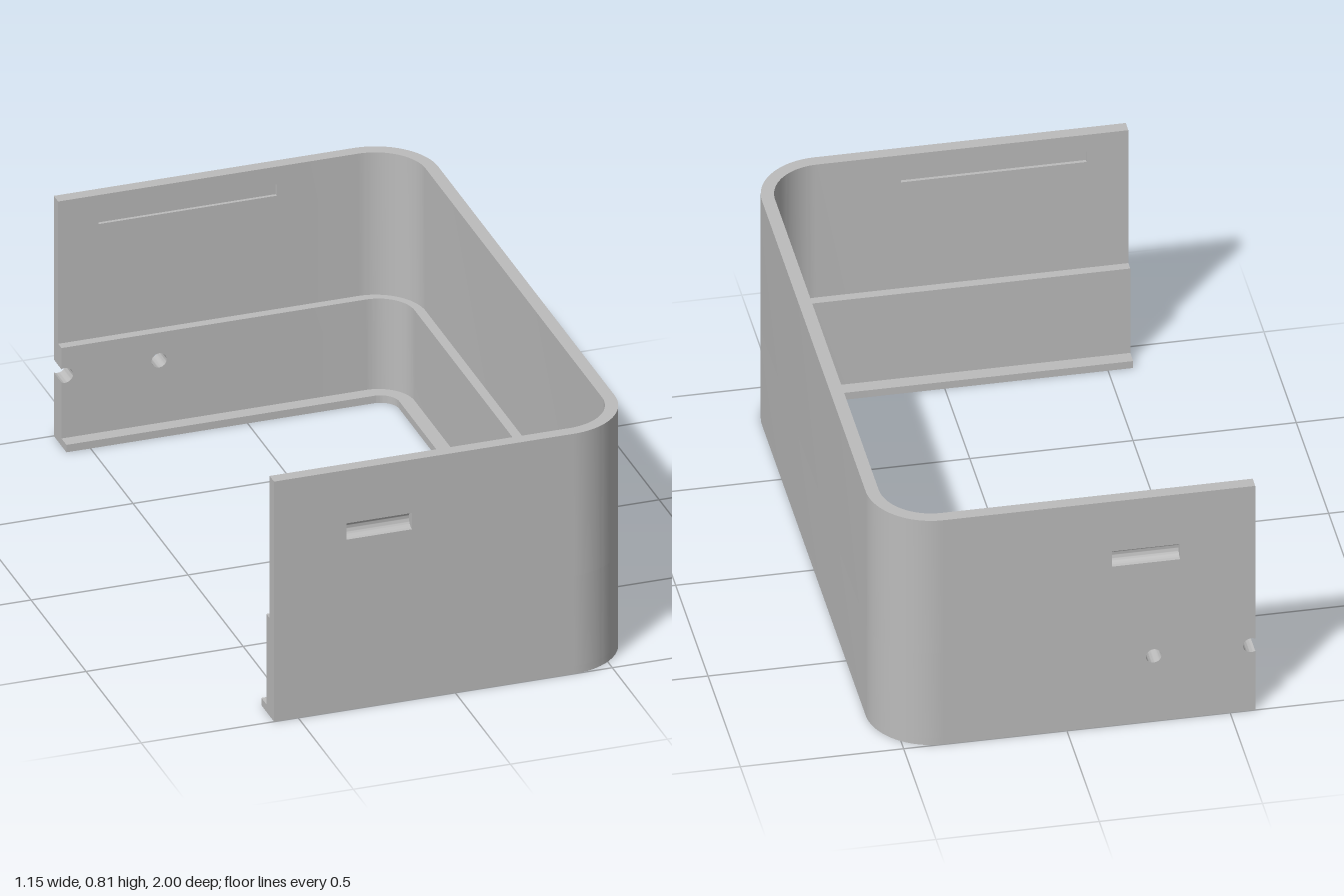
import * as THREE from 'three';
import { toCreasedNormals } from 'three/addons/utils/BufferGeometryUtils.js';

const X0 = -0.577, X1 = 0.577, H = 0.81, XS = 0.2; // open end, closed end, height, start of bend piece
const STEP = 0.33, LIP = 0.025;                    // heights of the inner ledges
const SKIN = 0.029;                                // depth of the outer wall layer
const grey = new THREE.MeshStandardMaterial({ color: 0xbcbcbc });
grey.name = 'grey';

function extrude(shape, depth, segs = 16) {
  return new THREE.ExtrudeGeometry(shape, { depth, bevelEnabled: false, curveSegments: segs });
}

function add(parent, name, geometry) {
  const mesh = new THREE.Mesh(toCreasedNormals(geometry, 0.5), grey);
  mesh.name = name;
  parent.add(mesh);
}

// Closed end with both rounded corners: a U band of thickness t between two heights
function bend(parent, name, y0, y1, t, r) {
  const R = 0.2, xi = X1 - t, zi = 1 - t, s = new THREE.Shape();
  s.moveTo(XS, -1);
  s.lineTo(X1 - R, -1);
  s.absarc(X1 - R, -1 + R, R, -Math.PI / 2, 0, false);
  s.lineTo(X1, 1 - R);
  s.absarc(X1 - R, 1 - R, R, 0, Math.PI / 2, false);
  s.lineTo(XS, 1);
  s.lineTo(XS, zi);
  s.lineTo(xi - r, zi);
  s.absarc(xi - r, zi - r, r, Math.PI / 2, 0, true);
  s.lineTo(xi, -zi + r);
  s.absarc(xi - r, -zi + r, r, 0, -Math.PI / 2, true);
  s.lineTo(XS, -zi);
  s.closePath();
  add(parent, name, extrude(s, y1 - y0).rotateX(-Math.PI / 2).translate(0, y0, 0));
}

// Rectangular opening
function slot(xa, xb, ya, yb) {
  const p = new THREE.Path();
  p.moveTo(xa, ya);
  p.lineTo(xa, yb);
  p.lineTo(xb, yb);
  p.lineTo(xb, ya);
  p.closePath();
  return p;
}

// One layer of a straight side wall, from depth d0 to d1 below the outer face
function layer(parent, name, side, top, d0, d1, holes, drilled) {
  const s = new THREE.Shape(), cy = 0.236, cx = X0 + 0.012, r = 0.025;
  s.moveTo(X0, 0);
  s.lineTo(XS, 0);
  s.lineTo(XS, top);
  s.lineTo(X0, top);
  if (drilled) {
    // open notch at the end and a round hole
    const a = Math.acos(-0.012 / r);
    s.lineTo(X0, cy + r * Math.sin(a));
    s.absarc(cx, cy, r, a, -a, true);
    const hole = new THREE.Path();
    hole.absarc(-0.266, cy, 0.024, 0, Math.PI * 2, true);
    s.holes.push(hole);
  }
  s.closePath();
  s.holes.push(...holes);
  const z = side > 0 ? 1 - d1 : -1 + d0;
  add(parent, name, extrude(s, d1 - d0).translate(0, 0, z));
}

// Rounded bed inside the outer slot
function slotBed(parent, side, xa, xb, ya, yb) {
  const r = (yb - ya) / 2, s = new THREE.Shape();
  s.moveTo(0, -r);
  s.absarc(0, 0, r, -Math.PI / 2, side > 0 ? Math.PI / 2 : -Math.PI * 1.5, side < 0);
  s.lineTo(side * SKIN, r);
  s.lineTo(side * SKIN, -r);
  s.closePath();
  add(parent, 'slotBed', extrude(s, xb - xa, 20).rotateY(Math.PI / 2).translate(xa, (ya + yb) / 2, side));
}

function sideWall(name, side, drilled) {
  const g = new THREE.Group();
  g.name = name;
  const outer = [-0.347, -0.138, 0.575, 0.63];
  layer(g, 'outerSkin', side, H, 0, SKIN, [slot(...outer)], drilled);
  layer(g, 'innerSkin', side, H, SKIN, 0.04, [slot(-0.449, 0.119, 0.712, 0.75)], drilled);
  layer(g, 'lowerThickening', side, STEP, 0.04, 0.07, [], drilled);
  layer(g, 'bottomLip', side, LIP, 0.07, 0.115, [], false);
  slotBed(g, side, ...outer);
  return g;
}

export function createModel() {
  const model = new THREE.Group();
  model.name = 'enclosureShell';

  const end = new THREE.Group();
  end.name = 'closedEnd';
  bend(end, 'bottomLipBend', 0, LIP, 0.115, 0.06);
  bend(end, 'lowerWallBend', LIP, STEP, 0.07, 0.115);
  bend(end, 'upperWallBend', STEP, H, 0.04, 0.16);

  model.add(end, sideWall('frontWall', 1, false), sideWall('backWall', -1, true));
  return model;
}
